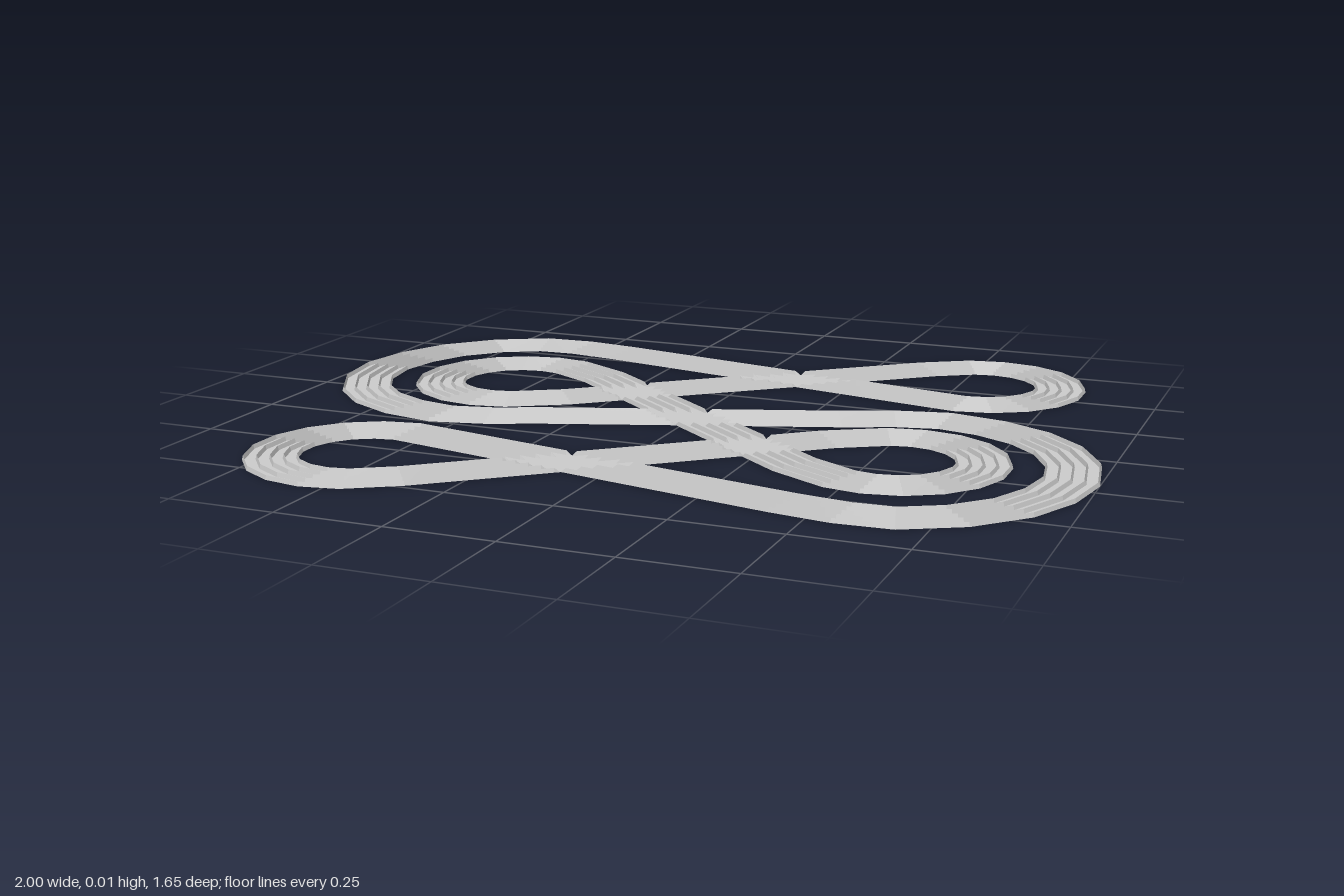
import * as THREE from 'three';

const HALF_WIDTH = 0.06, WALL_HEIGHT = 0.01, WALL_HALF = 0.0025, WALLS = 5, STEP = 0.012;

function arc(cx, cz, r, from, to, n) {
  return Array.from({ length: n + 1 }, (_, i) => {
    const a = THREE.MathUtils.degToRad(from + (to - from) * i / n);
    return [cx + r * Math.cos(a), cz + r * Math.sin(a)];
  });
}

// Centre line as [x, z]: one half, then the same half turned by 180 degrees
function centreLine() {
  const half = [
    [0.36, 0.295],
    ...arc(0.55, 0.18, 0.195, 110, -110, 11),
    [0.36, 0.07], [-0.385, 0.69],
    ...arc(-0.555, 0.565, 0.2, 70, 270, 10),
    [0.43, 0.57], [0.56, 0.59], [0.67, 0.585], [0.78, 0.525], [0.87, 0.43],
    [0.92, 0.32], [0.94, 0.2], [0.92, 0.075], [0.865, -0.03], [0.785, -0.11],
    [0.68, -0.165], [0.565, -0.19], [0.45, -0.165], [0.33, -0.115],
  ];
  const other = half.map(([x, z]) => [-x, -z]).reverse();
  return [...half, ...other].map(([x, z]) => new THREE.Vector2(x, z));
}

// Even samples along the straight facets, each with its mitred sideways vector
function sampleLine(points) {
  const n = points.length;
  const normal = (a, b) => {
    const d = b.clone().sub(a).normalize();
    return new THREE.Vector2(-d.y, d.x);
  };
  const mitres = points.map((p, i) => {
    const a = normal(points[(i + n - 1) % n], p);
    const b = normal(p, points[(i + 1) % n]);
    const m = a.clone().add(b).normalize();
    return m.divideScalar(m.dot(a));
  });
  const samples = [];
  points.forEach((p, i) => {
    const q = points[(i + 1) % n];
    const parts = Math.max(1, Math.round(p.distanceTo(q) / STEP));
    for (let k = 0; k < parts; k++) {
      samples.push({
        p: p.clone().lerp(q, k / parts),
        side: mitres[i].clone().lerp(mitres[(i + 1) % n], k / parts),
      });
    }
  });
  return samples;
}

function trackGeometry() {
  const samples = sampleLine(centreLine());
  const count = samples.length;

  // A wall is left out wherever another stretch of track crosses
  const crossed = (pos, i) => samples.some((s, j) => {
    const gap = Math.abs(i - j);
    return Math.min(gap, count - gap) > 25 && s.p.distanceTo(pos) < HALF_WIDTH + 0.003;
  });

  const positions = [], index = [];
  const columns = WALLS * 3;
  samples.forEach(({ p, side }, i) => {
    // Cross-section: flat lanes between thin ridged walls
    for (let w = 0; w < WALLS; w++) {
      const centre = (HALF_WIDTH - WALL_HALF) * (2 * w / (WALLS - 1) - 1);
      const top = crossed(p.clone().addScaledVector(side, centre), i) ? 0 : WALL_HEIGHT;
      for (const k of [-1, 0, 1]) {
        const v = p.clone().addScaledVector(side, centre + k * WALL_HALF);
        positions.push(v.x, k === 0 ? top : 0, v.y);
      }
    }
    for (let j = 0; j < columns - 1; j++) {
      const a = i * columns + j, b = ((i + 1) % count) * columns + j;
      index.push(a, a + 1, b, b, a + 1, b + 1);
    }
  });

  const geometry = new THREE.BufferGeometry();
  geometry.setAttribute('position', new THREE.Float32BufferAttribute(positions, 3));
  geometry.setIndex(index);
  geometry.computeVertexNormals();
  return geometry;
}

export function createModel() {
  const group = new THREE.Group();
  group.name = 'raceTrack';
  const material = new THREE.MeshStandardMaterial({
    color: 0xcccccc, flatShading: true, side: THREE.DoubleSide,
  });
  const track = new THREE.Mesh(trackGeometry(), material);
  track.name = 'fourLaneTrack';
  group.add(track);
  return group;
}
